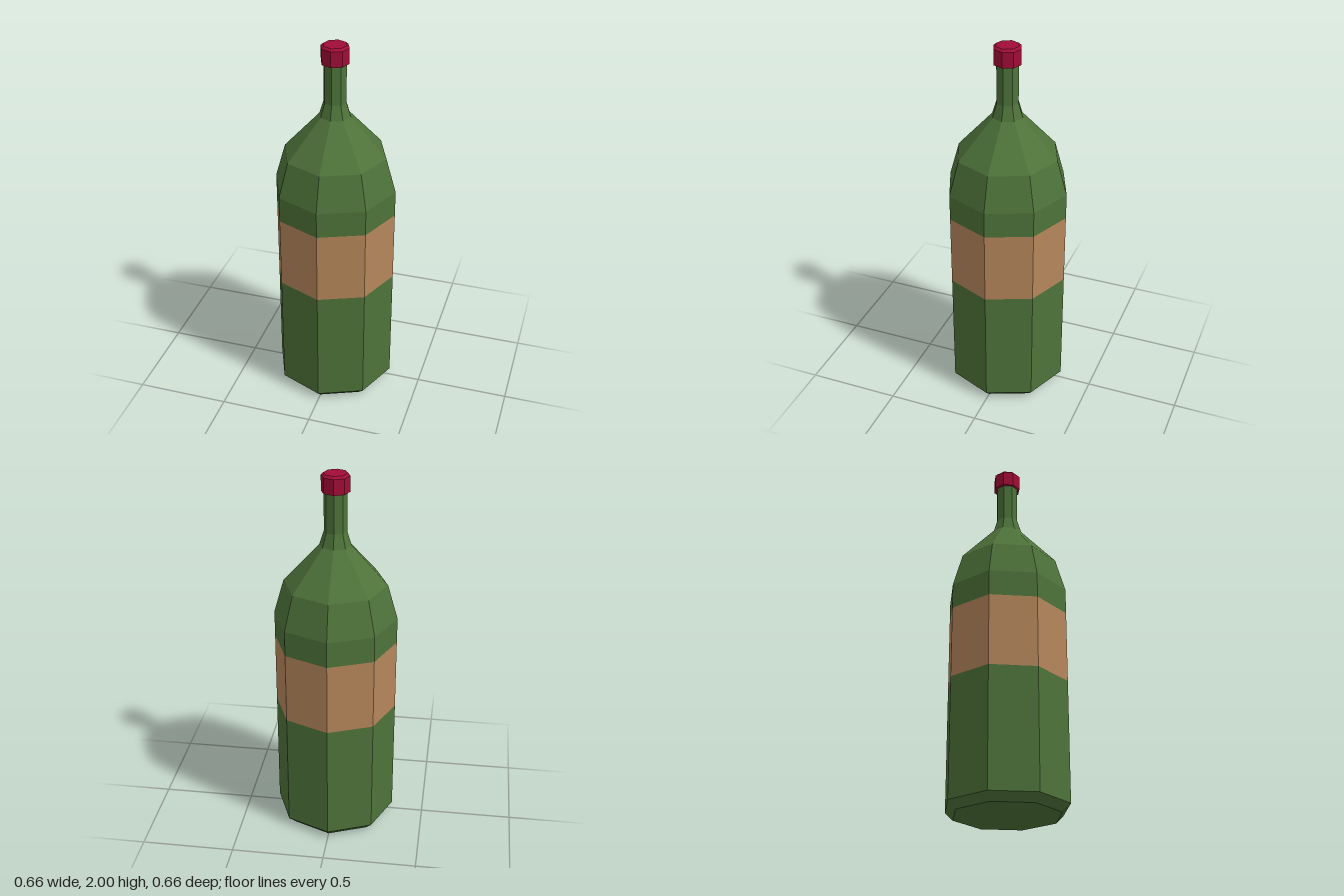
import * as THREE from 'three';

const SIDES = 8;

export function createModel() {
  const glass = new THREE.MeshStandardMaterial({ color: 0x4e733a });
  const paper = new THREE.MeshStandardMaterial({ color: 0xb5865a });
  const wax = new THREE.MeshStandardMaterial({ color: 0xa00d36 });

  const bottle = new THREE.Group();
  bottle.name = 'bottle';

  const add = (name, geometry, material) => {
    const mesh = new THREE.Mesh(geometry, material);
    mesh.name = name;
    bottle.add(mesh);
    return mesh;
  };

  // Faceted eight-sided turning of [radius, height] points, listed upwards
  const turned = (name, points, material) => {
    const profile = points.map(([r, y]) => new THREE.Vector2(r, y));
    const geometry = new THREE.LatheGeometry(profile, SIDES).toNonIndexed();
    geometry.computeVertexNormals();
    return add(name, geometry, material);
  };

  // Flat octagon closing an end; dir is 1 facing up, -1 facing down
  const disc = (name, radius, y, dir, material) => {
    const geometry = new THREE.CircleGeometry(radius, SIDES).rotateX(-dir * Math.PI / 2);
    add(name, geometry, material).position.y = y;
  };

  // Glass: base, lower body, then shoulder and neck above the label
  disc('base', 0.285, 0, -1, glass);
  turned('lowerBody', [[0.285, 0], [0.328, 0.042], [0.328, 0.69]], glass);
  turned('shoulderAndNeck', [
    [0.328, 1.08], [0.328, 1.22], [0.274, 1.408], [0.083, 1.62], [0.06, 1.695], [0.06, 1.91],
  ], glass);

  // Label band wrapping the body
  turned('label', [[0.328, 0.69], [0.328, 1.08]], paper);

  // Cap with a small bevel at the top
  turned('cap', [[0.058, 1.905], [0.074, 1.905], [0.074, 1.988], [0.061, 2]], wax);
  disc('capTop', 0.061, 2, 1, wax);

  return bottle;
}
